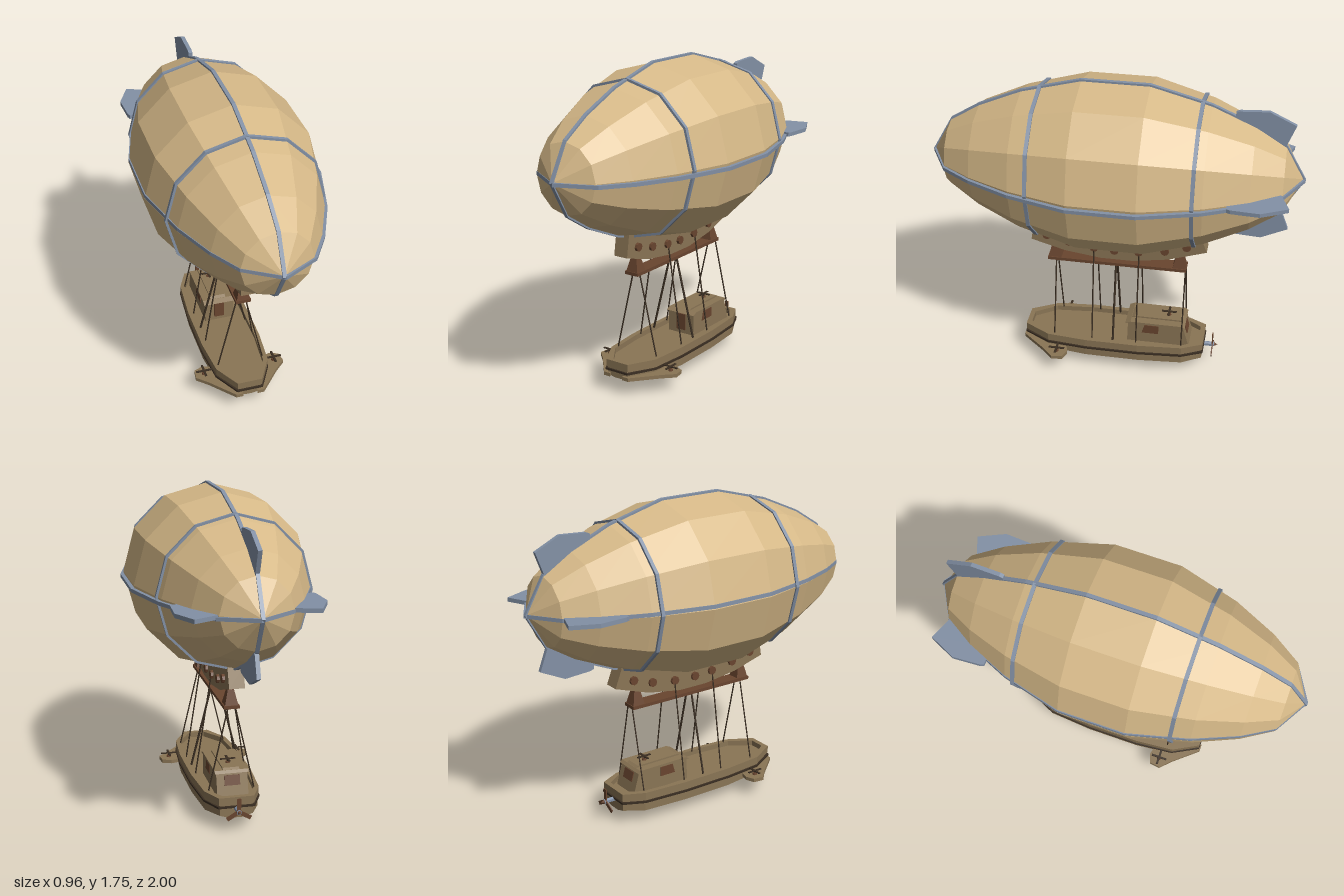
import * as THREE from 'three';

const mat = (name, color) => {
  const m = new THREE.MeshStandardMaterial({ color, flatShading: true });
  m.name = name;
  return m;
};

export function createModel() {
  const canvas = mat('tan canvas', 0xd6b988);
  const steel = mat('blue grey steel', 0x8391a6);
  const wood = mat('hull wood', 0x8a7555);
  const brown = mat('red brown wood', 0x69452f);
  const dark = mat('dark rope', 0x3a2e22);

  const model = new THREE.Group();
  model.name = 'airship';
  const CX = -0.008, CY = 1.27;

  const add = (name, geo, material, x = 0, y = 0, z = 0, parent = model) => {
    const mesh = new THREE.Mesh(geo, material);
    mesh.name = name;
    mesh.position.set(x, y, z);
    parent.add(mesh);
    return mesh;
  };
  const vec = pts => pts.map(([a, b]) => new THREE.Vector2(a, b));
  const extrude = (pts, depth, hole) => {
    const shape = new THREE.Shape(vec(pts));
    if (hole) shape.holes.push(new THREE.Path(vec(hole)));
    return new THREE.ExtrudeGeometry(shape, { depth, bevelEnabled: false });
  };
  // outline given as (z, y), thickness centred on x
  const sidePlate = (pts, width, hole) =>
    extrude(pts, width, hole).translate(0, 0, -width / 2).rotateY(-Math.PI / 2);
  // outline given as (x, z), rising from y0 to y1
  const planPlate = (pts, y0, y1, hole) =>
    extrude(pts, y1 - y0, hole).rotateX(Math.PI / 2).translate(0, y1, 0);
  // straight bar between two points
  const bar = (name, a, b, r, material, parent) => {
    const p = new THREE.Vector3(...a), q = new THREE.Vector3(...b);
    const mesh = add(name, new THREE.CylinderGeometry(r, r, p.distanceTo(q), 6), material, 0, 0, 0, parent);
    mesh.position.copy(p).lerp(q, 0.5);
    mesh.quaternion.setFromUnitVectors(new THREE.Vector3(0, 1, 0), q.sub(p).normalize());
  };

  // gas envelope, twelve-sided, from tail to nose
  const half = [[0.18, 0.47], [0.5, 0.385], [0.73, 0.285], [0.89, 0.185], [0.992, 0]];
  const profile = [...half.map(([z, r]) => [-z, r]).reverse(), ...half];
  add('envelope', new THREE.LatheGeometry(vec(profile.map(([z, r]) => [r, z])), 12).rotateX(Math.PI / 2), canvas, CX, CY);

  // lengthwise straps and ring straps
  const loop = d => {
    const pts = profile.map(([z, r]) => [z + Math.sign(z) * (r === 0 ? d : 0), r === 0 ? 0 : r + d]);
    return [...pts, ...pts.slice(1, -1).reverse().map(([z, r]) => [z, -r])];
  };
  const strap = () => sidePlate(loop(0.008), 0.02, loop(-0.012));
  const tilt = -Math.PI / 2 - 0.042;
  add('verticalStrap', strap(), steel, CX, CY);
  add('horizontalStrap', strap(), steel, 0, 1.265).rotation.z = tilt;
  const polygon = r => Array.from({ length: 12 }, (_, i) =>
    [r * Math.cos(i * Math.PI / 6), r * Math.sin(i * Math.PI / 6)]);
  for (const [z, r] of [[0.4, 0.412], [-0.45, 0.398]])
    add('ringStrap', extrude(polygon(r + 0.01), 0.02, polygon(r - 0.02)), steel, CX, CY, z - 0.01);

  // four tail fins
  const fin = [[-0.62, 0.25], [-0.62, 0.36], [-0.64, 0.368], [-0.79, 0.377], [-0.93, 0.31], [-0.885, 0.19], [-0.84, 0.15]];
  for (let i = 0; i < 4; i++)
    add('tailFin', sidePlate(fin, 0.022), steel, CX, CY).rotation.z = i * Math.PI / 2 + (i % 2 ? -0.03 : 0);

  // keel under the envelope with round pegs
  add('keel', sidePlate([[0.45, 0.885], [0.47, 0.76], [0.28, 0.705], [0.08, 0.677], [-0.1, 0.677],
    [-0.3, 0.71], [-0.51, 0.78], [-0.47, 0.885], [-0.2, 0.83], [0.2, 0.83]], 0.084), wood, CX);
  for (const [z, y] of [[0.38, 0.8], [0.255, 0.77], [0.115, 0.747], [0, 0.74], [-0.135, 0.745], [-0.28, 0.767], [-0.4, 0.805]])
    add('keelPeg', new THREE.CylinderGeometry(0.024, 0.024, 0.114, 8).rotateZ(Math.PI / 2), brown, CX, y, z);

  // hanging beam with two tapered brackets
  add('beam', new THREE.BoxGeometry(0.085, 0.018, 0.78), brown, CX, 0.642, -0.01);
  for (const z of [0.34, -0.36])
    add('beamBracket', new THREE.CylinderGeometry(0.024, 0.052, 0.085, 4).rotateY(Math.PI / 4), brown, CX, 0.69, z);

  // lower vessel, mirrored about its own centre
  const boat = new THREE.Group();
  boat.name = 'boat';
  boat.position.x = CX;
  model.add(boat);

  // ropes from beam and pegs down to the gunwale
  for (const s of [1, -1]) {
    for (const [z, w] of [[0.335, 0.13], [-0.395, 0.125]])
      bar('rope', [s * 0.02, 0.64, z], [s * w, 0.18, z], 0.004, dark, boat);
    bar('middleRope', [s * 0.02, 0.64, -0.005], [s * 0.135, 0.18, -0.005], 0.006, dark, boat);
    for (const z of [0.115, -0.138])
      bar('pegRope', [s * 0.052, 0.74, z], [s * 0.14, 0.18, z], 0.004, dark, boat);
  }

  // hull lofted from stations: z, half width, chine height, keel height, keel half width
  const stations = [[-0.51, 0.09, 0.085, 0.068, 0.035], [-0.4, 0.145, 0.078, 0.045, 0.04], [-0.15, 0.165, 0.078, 0.003, 0.04],
    [0.15, 0.165, 0.078, 0.003, 0.04], [0.37, 0.145, 0.085, 0.055, 0.035], [0.51, 0.065, 0.1, 0.09, 0.02]];
  const pos = [], index = [], N = 6;
  for (const [z, w, c, k, kw] of stations)
    for (const [x, y] of [[w, 0.155], [-w, 0.155], [-w, c], [-kw, k], [kw, k], [w, c]]) pos.push(x, y, z);
  for (let s = 0; s < stations.length - 1; s++)
    for (let i = 0; i < N; i++) {
      const a = s * N + i, b = s * N + (i + 1) % N;
      index.push(a, b, b + N, a, b + N, a + N);
    }
  const last = (stations.length - 1) * N;
  for (let i = 1; i < N - 1; i++) index.push(0, i + 1, i, last, last + i, last + i + 1);
  const hull = new THREE.BufferGeometry();
  hull.setAttribute('position', new THREE.Float32BufferAttribute(pos, 3));
  hull.setIndex(index);
  hull.computeVertexNormals();
  add('hull', hull, wood, 0, 0, 0, boat);

  // raised gunwale and dark rubbing strip
  const outline = d => {
    const right = stations.map(([z, w]) => [w + d, z + Math.sign(z) * (Math.abs(z) > 0.5 ? d : 0)]);
    return [...right, ...right.map(([x, z]) => [-x, z]).reverse()];
  };
  add('gunwale', planPlate(outline(0.005), 0.145, 0.185, outline(-0.022)), wood, 0, 0, 0, boat);
  add('rubbingStrip', planPlate(outline(0.009), 0.126, 0.137, outline(-0.01)), dark, 0, 0, 0, boat);

  // cabin with sloped ends, roof slab, windows and door
  add('cabin', sidePlate([[-0.08, 0.155], [-0.085, 0.28], [-0.4, 0.28], [-0.435, 0.155]], 0.17), wood, 0, 0, 0, boat);
  add('cabinRoof', sidePlate([[-0.07, 0.278], [-0.1, 0.291], [-0.395, 0.291], [-0.41, 0.278]], 0.184), wood, 0, 0, 0, boat);
  add('roofRidge', sidePlate([[-0.1, 0.29], [-0.12, 0.3], [-0.38, 0.3], [-0.395, 0.29]], 0.09), wood, 0, 0, 0, boat);
  for (const s of [1, -1])
    add('sideWindow', sidePlate([[-0.18, 0.273], [-0.165, 0.22], [-0.26, 0.22], [-0.26, 0.273]], 0.006), brown, s * 0.086, 0, 0, boat);
  add('door', new THREE.BoxGeometry(0.06, 0.095, 0.006), brown, 0, 0.223, -0.081, boat);
  add('rearWindow', new THREE.BoxGeometry(0.085, 0.055, 0.006), brown, 0, 0.24, -0.413, boat).rotation.x = 0.273;

  // small lifting rotor: mast, hub and crossed blades
  const rotor = (x, y, z, mast, span) => {
    bar('rotorMast', [x, y - mast, z], [x, y, z], 0.005, dark, boat);
    add('rotorHub', new THREE.CylinderGeometry(0.011, 0.014, 0.016, 8), brown, x, y - mast + 0.008, z, boat);
    add('rotorBlade', new THREE.BoxGeometry(span, 0.005, 0.012), dark, x, y, z, boat);
    add('rotorBlade', new THREE.BoxGeometry(0.012, 0.005, span), dark, x, y, z, boat);
  };
  rotor(0, 0.323, -0.31, 0.03, 0.084);

  // bow wings carrying rotors
  for (const s of [1, -1]) {
    const wing = [[0.04, 0.525], [0.08, 0.525], [0.2, 0.385], [0.258, 0.33], [0.25, 0.27], [0.2, 0.25], [0.12, 0.27]];
    add('bowWing', planPlate(wing.map(([x, z]) => [s * x, z]), 0.094, 0.114), wood, 0, 0, 0, boat);
    rotor(s * 0.205, 0.137, 0.31, 0.027, 0.09);
  }

  // stern propeller
  bar('propellerShaft', [0, 0.122, -0.5], [0, 0.122, -0.575], 0.014, steel, boat);
  add('propellerCone', new THREE.ConeGeometry(0.016, 0.03, 8).rotateX(-Math.PI / 2), brown, 0, 0.122, -0.58, boat);
  for (let i = 0; i < 3; i++) {
    const blade = add('propellerBlade', new THREE.BoxGeometry(0.022, 0.072, 0.006).translate(0, 0.038, 0), brown, 0, 0.122, -0.565, boat);
    blade.rotation.z = i * Math.PI * 2 / 3;
  }
  return model;
}
